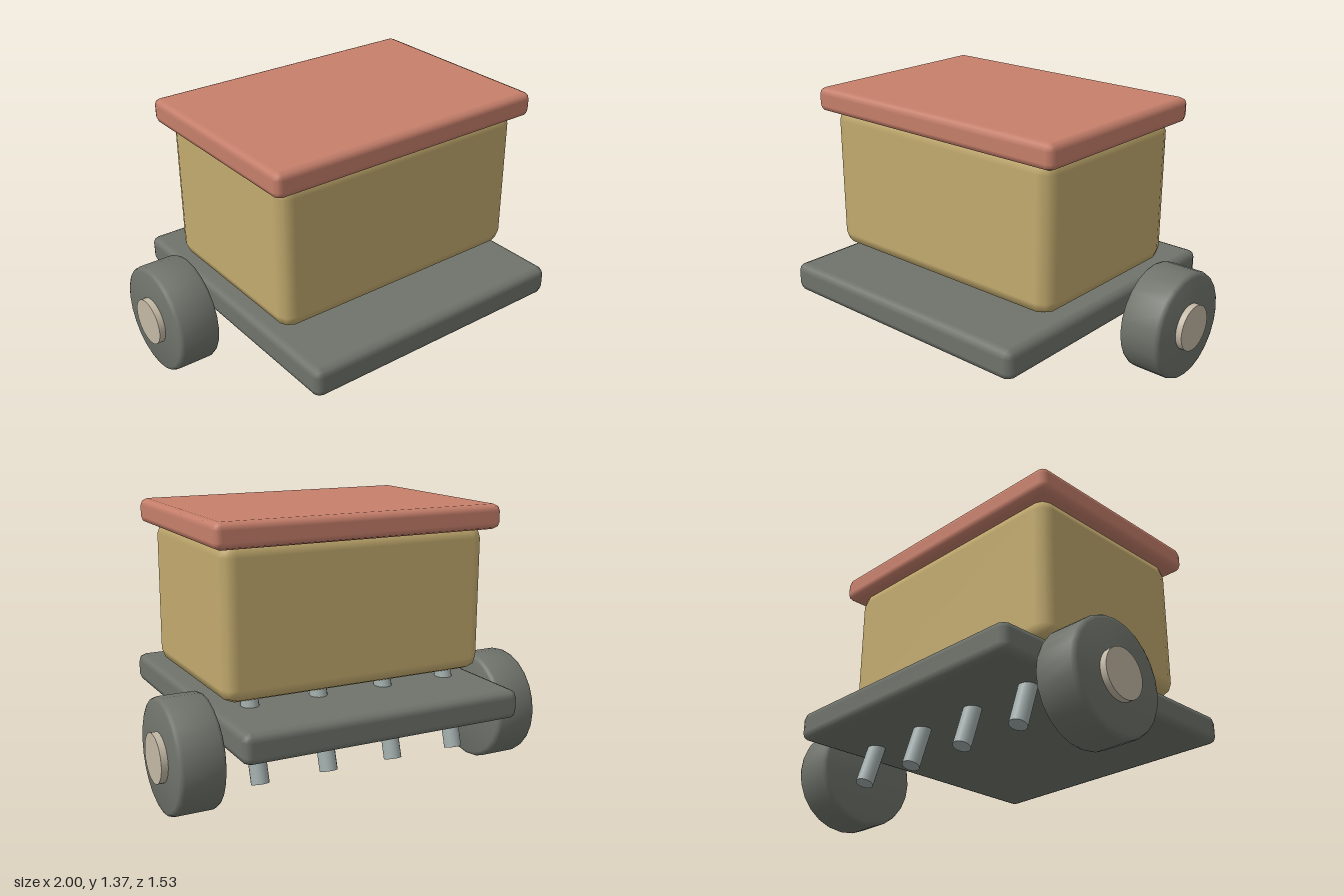
import * as THREE from 'three';
import { toCreasedNormals } from 'three/addons/utils/BufferGeometryUtils.js';
import { RoundedBoxGeometry } from 'three/addons/geometries/RoundedBoxGeometry.js';

const flat = (name, color) => {
  const m = new THREE.MeshStandardMaterial({ color });
  m.name = name;
  return m;
};

// Disc along y with a softly bevelled rim
function bevelledDisc(radius, width, bevel, sides) {
  const h = width / 2;
  const pts = [new THREE.Vector2(0, -h)];
  for (const [cy, start] of [[-h + bevel, -Math.PI / 2], [h - bevel, 0]]) {
    for (let i = 0; i <= 2; i++) {
      const a = start + (i * Math.PI) / 4;
      pts.push(new THREE.Vector2(radius - bevel + bevel * Math.cos(a), cy + bevel * Math.sin(a)));
    }
  }
  pts.push(new THREE.Vector2(0, h));
  return toCreasedNormals(new THREE.LatheGeometry(pts, sides), 0.9);
}

export function createModel() {
  const model = new THREE.Group();
  model.name = 'seeder';
  const red = flat('lid red', 0xc67f6b);
  const tan = flat('hopper tan', 0xc2aa6e);
  const dark = flat('dark grey', 0x6f736b);
  const cream = flat('hub cream', 0xc3b8a5);
  const steel = flat('tube steel', 0xa0acaa);

  const add = (name, geometry, material, x, y, z) => {
    const mesh = new THREE.Mesh(geometry, material);
    mesh.name = name;
    mesh.position.set(x, y, z);
    model.add(mesh);
    return mesh;
  };

  // Deck, hopper and lid
  add('deck', new RoundedBoxGeometry(1.46, 0.15, 1.53, 1, 0.04), dark, 0, 0.41, 0);
  add('hopper', new RoundedBoxGeometry(1.4, 0.75, 0.96, 1, 0.07), tan, 0, 0.895, 0);
  add('lid', new RoundedBoxGeometry(1.51, 0.125, 1.07, 1, 0.035), red, 0, 1.3075, 0);

  // Wheels with hubs
  const wheel = bevelledDisc(0.28, 0.225, 0.022, 24);
  const hub = new THREE.CylinderGeometry(0.12, 0.12, 0.2, 32);
  for (const side of [-1, 1]) {
    const label = side > 0 ? 'left' : 'right';
    add(label + 'Wheel', wheel, dark, side * 0.855, 0.28, -0.32).rotation.z = -side * Math.PI / 2;
    add(label + 'Hub', hub, cream, side * 0.9, 0.28, -0.32).rotation.z = -side * Math.PI / 2;
  }

  // Seed tubes, leaning back towards the ground
  const tube = new THREE.CylinderGeometry(0.044, 0.044, 0.46, 16);
  [-0.54, -0.18, 0.18, 0.54].forEach((x, i) => {
    add('seedTube' + (i + 1), tube, steel, x, 0.352, -0.42).rotation.x = 0.3;
  });

  return model;
}
